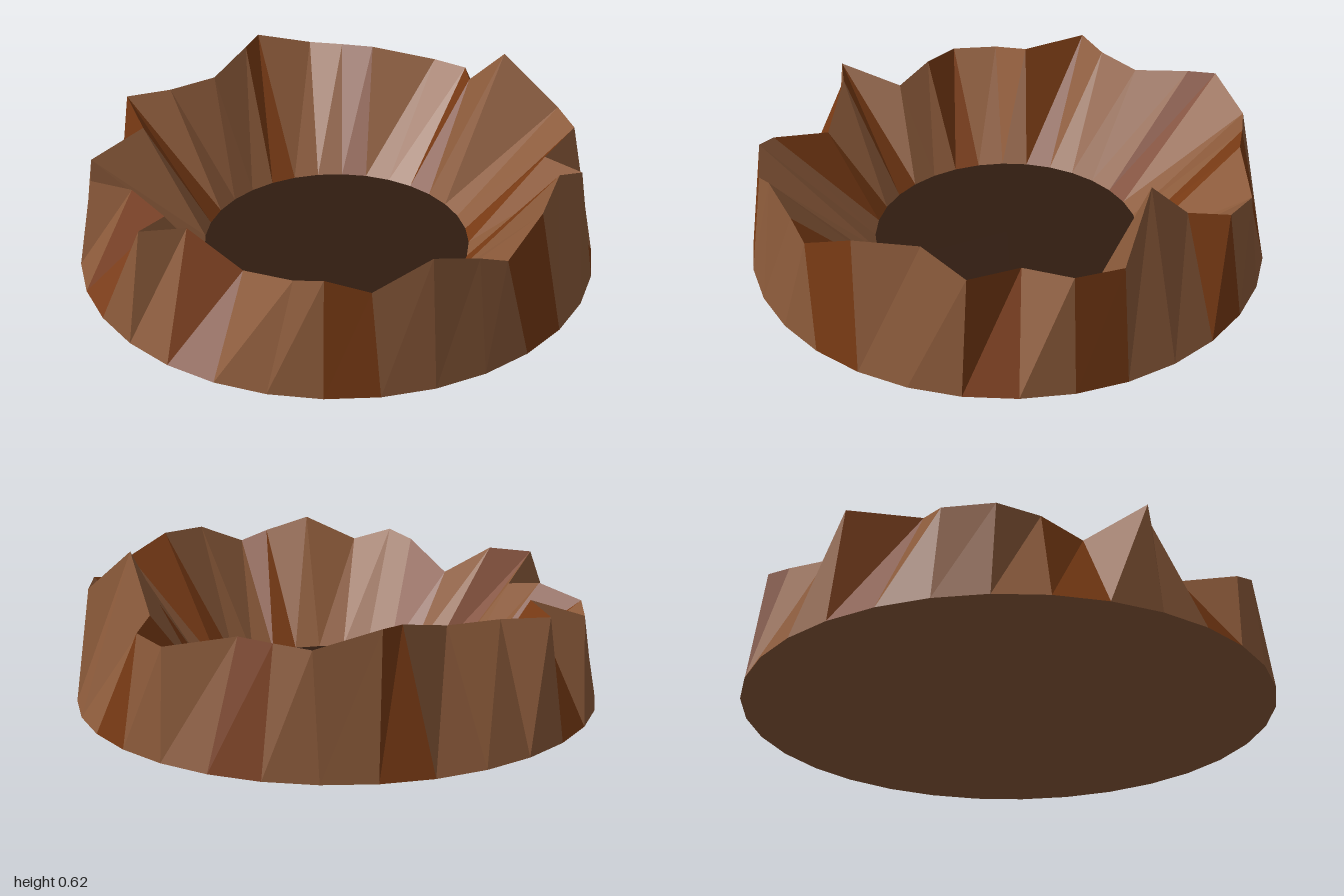
import * as THREE from 'three';

const SIDES = 32;
const FLOOR_RADIUS = 0.52;
const FLOOR_HEIGHT = 0.02;

// Jagged crest, one [x, y, z] per side, turning from +x towards +z
const CREST = [
  [0.94, 0.44, 0], [0.92, 0.44, 0.18], [0.74, 0.4, 0.29], [0.78, 0.44, 0.51],
  [0.63, 0.51, 0.61], [0.47, 0.49, 0.8], [0.29, 0.4, 0.91], [0.18, 0.44, 0.92],
  [0, 0.49, 0.94], [-0.21, 0.39, 0.92], [-0.36, 0.44, 0.87], [-0.44, 0.41, 0.79],
  [-0.54, 0.32, 0.54], [-0.7, 0.45, 0.41], [-0.86, 0.44, 0.36], [-0.72, 0.36, 0.16],
  [-0.8, 0.4, 0], [-0.92, 0.37, -0.17], [-0.88, 0.36, -0.35], [-0.66, 0.44, -0.39],
  [-0.66, 0.45, -0.66], [-0.48, 0.45, -0.66], [-0.28, 0.45, -0.71], [-0.1, 0.5, -0.85],
  [-0.02, 0.51, -0.93], [0.21, 0.445, -0.92], [0.33, 0.45, -0.84], [0.44, 0.455, -0.76],
  [0.69, 0.4, -0.66], [0.77, 0.41, -0.52], [0.72, 0.43, -0.37], [0.78, 0.62, -0.18],
];

// Sides that carry a redder strip
const OUTER_STRIPS = [0, 2, 5, 9, 12, 15, 19, 23, 26, 29];
const INNER_STRIPS = [1, 3, 6, 11, 13, 16, 19, 23, 26, 29];

const material = (color) => new THREE.MeshStandardMaterial({ color, flatShading: true });

function ring(radius, y) {
  return CREST.map((_, i) => {
    const a = (i / SIDES) * Math.PI * 2;
    return [radius * Math.cos(a), y, radius * Math.sin(a)];
  });
}

// Wall between two rings, limited to the chosen sides
function wall(lower, upper, sides) {
  const points = [];
  for (const i of sides) {
    const j = (i + 1) % SIDES;
    points.push(...lower[i], ...upper[i], ...lower[j]);
    points.push(...upper[i], ...upper[j], ...lower[j]);
  }
  const geometry = new THREE.BufferGeometry();
  geometry.setAttribute('position', new THREE.Float32BufferAttribute(points, 3));
  geometry.computeVertexNormals();
  return geometry;
}

export function createModel() {
  const group = new THREE.Group();
  group.name = 'hollowStump';
  const wood = material(0x8b5a3a);
  const redWood = material(0x783a14);
  const darkWood = material(0x301c10);

  const add = (name, geometry, mat) => {
    const mesh = new THREE.Mesh(geometry, mat);
    mesh.name = name;
    group.add(mesh);
    return mesh;
  };

  const base = ring(1, 0);
  const floorRing = ring(FLOOR_RADIUS, FLOOR_HEIGHT);
  const others = (strips) => [...CREST.keys()].filter((i) => !strips.includes(i));

  // Outer bark, from the base up to the crest
  add('outerBark', wall(base, CREST, others(OUTER_STRIPS)), wood);
  add('outerBarkStrips', wall(base, CREST, OUTER_STRIPS), redWood);

  // Inner hollow, from the crest down to the floor
  add('innerWall', wall(CREST, floorRing, others(INNER_STRIPS)), wood);
  add('innerWallStrips', wall(CREST, floorRing, INNER_STRIPS), redWood);

  // Floor of the hollow and underside
  const floor = add('hollowFloor', new THREE.CircleGeometry(FLOOR_RADIUS, SIDES), darkWood);
  floor.rotation.x = -Math.PI / 2;
  floor.position.y = FLOOR_HEIGHT;
  const underside = add('underside', new THREE.CircleGeometry(1, SIDES), wood);
  underside.rotation.x = Math.PI / 2;

  return group;
}
